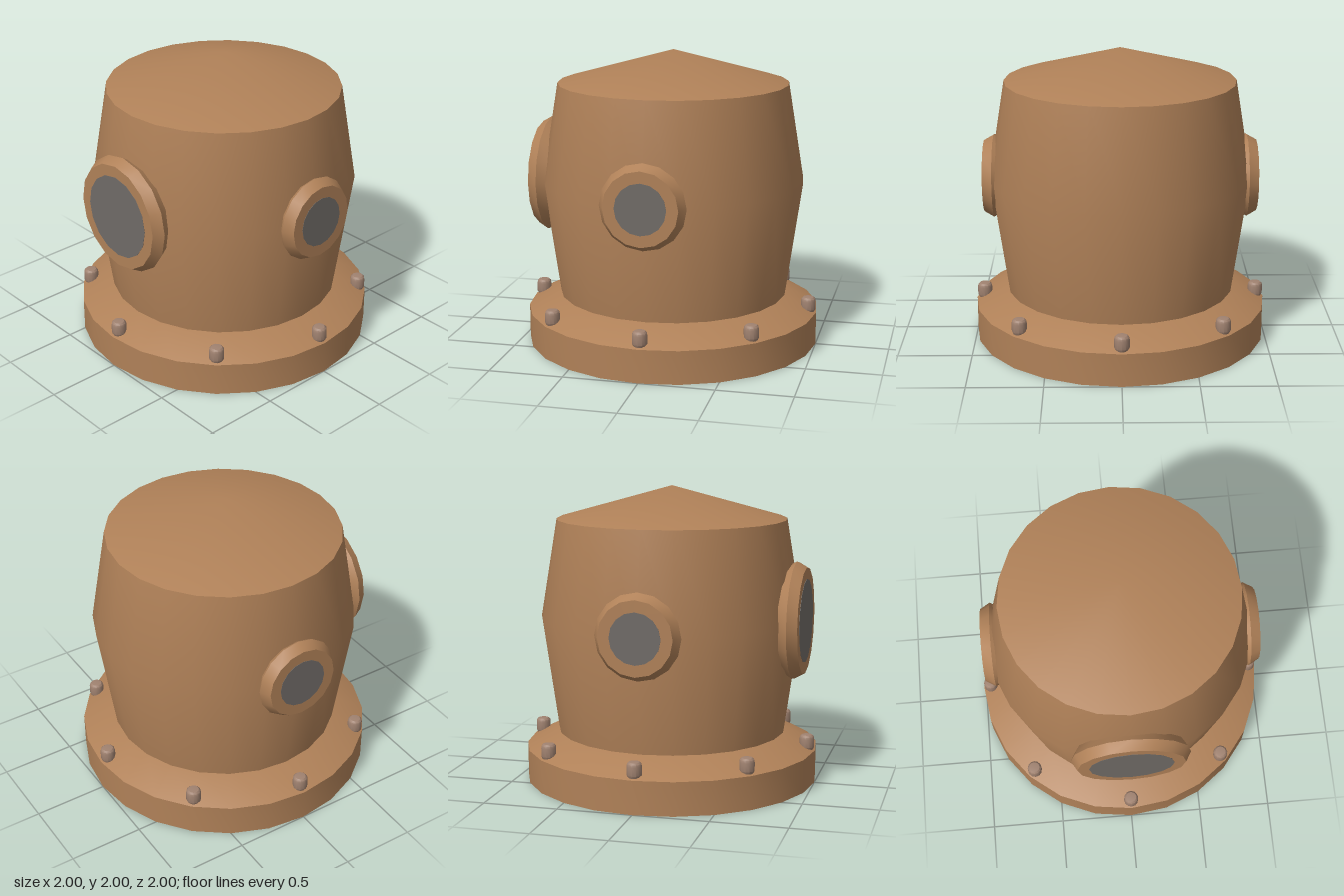
import * as THREE from 'three';
import { toCreasedNormals } from 'three/addons/utils/BufferGeometryUtils.js';

const copper = new THREE.MeshStandardMaterial({ color: 0xb08158 });
copper.name = 'copper';
const steel = new THREE.MeshStandardMaterial({ color: 0xa08270 });
steel.name = 'boltMetal';
const glass = new THREE.MeshStandardMaterial({ color: 0x706b67 });
glass.name = 'smokedGlass';

function part(name, geometry, material) {
  const mesh = new THREE.Mesh(toCreasedNormals(geometry, 0.65), material);
  mesh.name = name;
  return mesh;
}

// Turned shape from [radius, height] pairs, listed bottom to top
function turned(name, profile, sides, material) {
  const points = profile.map(([r, y]) => new THREE.Vector2(r, y));
  return part(name, new THREE.LatheGeometry(points, sides), material);
}

// Six-sided ring with a flush pane, facing +z
function porthole(name, radius) {
  const tube = 0.077, centre = 0.858, front = tube * Math.sin(Math.PI / 3);
  const group = new THREE.Group();
  group.name = name;
  const rim = part('portholeRim', new THREE.TorusGeometry(radius, tube, 6, 16), copper);
  rim.position.z = centre;
  const paneGeometry = new THREE.CylinderGeometry(radius - tube / 2, radius - tube / 2, 0.008, 16);
  const pane = part('portholeGlass', paneGeometry.rotateX(Math.PI / 2), glass);
  pane.position.z = centre + front - 0.002;
  group.add(rim, pane);
  group.position.y = 1.115;
  return group;
}

export function createModel() {
  const model = new THREE.Group();
  model.name = 'divingHelmet';

  // Collar with sloped shoulder
  model.add(turned('collar', [[0, 0], [1, 0], [1, 0.225], [0.76, 0.345], [0, 0.345]], 24, copper));

  // Barrel-shaped dome with a shallow conical crown
  model.add(turned('dome', [[0.78, 0.335], [0.89, 1.115], [0.78, 1.78], [0, 2]], 24, copper));

  // Large front window and two smaller side windows
  model.add(porthole('frontPorthole', 0.32));
  for (const side of [1, -1]) {
    const port = porthole(side > 0 ? 'leftPorthole' : 'rightPorthole', 0.207);
    port.rotation.y = side * Math.PI / 2;
    model.add(port);
  }

  // Eight collar bolts with rounded heads
  const boltProfile = [[0, 0.225], [0.04, 0.23], [0.05, 0.25], [0.05, 0.305], [0.047, 0.322], [0.036, 0.333], [0, 0.337]];
  for (let i = 0; i < 8; i++) {
    const angle = i * Math.PI / 4;
    const bolt = turned('bolt', boltProfile, 12, steel);
    bolt.position.set(Math.sin(angle) * 0.945, 0, Math.cos(angle) * 0.945);
    model.add(bolt);
  }
  return model;
}
